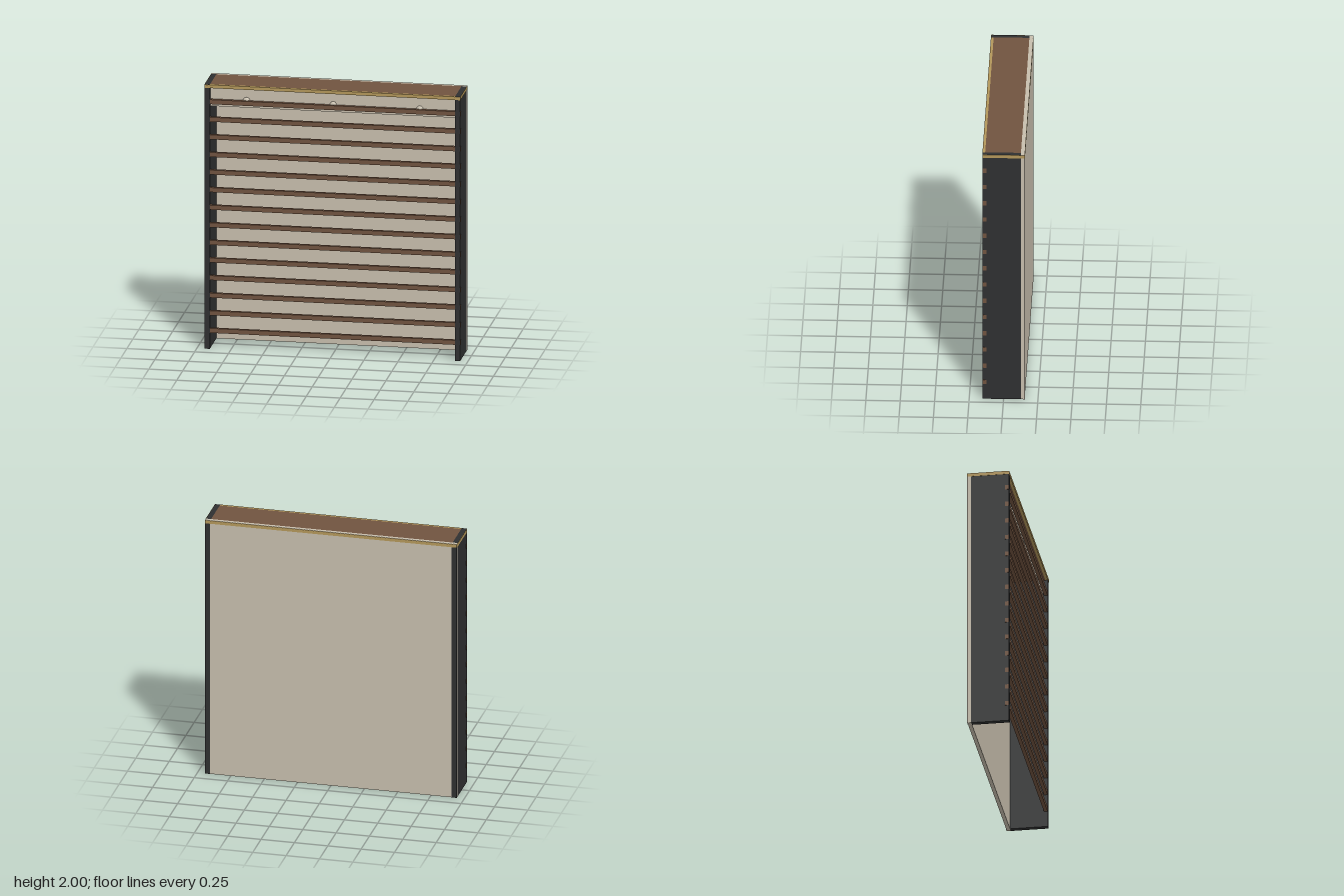
import * as THREE from 'three';

const mat = (name, color) => {
  const m = new THREE.MeshStandardMaterial({ color });
  m.name = name;
  return m;
};

export function createModel() {
  const group = new THREE.Group();
  const dark = mat('charcoal', 0x2e2f30);
  const brown = mat('brown wood', 0x70533f);
  const cream = mat('cream', 0xc6bdac);
  const gold = mat('brass', 0xb2965a);

  // Box given by its lower and upper limits on each axis
  const box = (name, material, [x0, x1], [y0, y1], [z0, z1]) => {
    const mesh = new THREE.Mesh(new THREE.BoxGeometry(x1 - x0, y1 - y0, z1 - z0), material);
    mesh.position.set((x0 + x1) / 2, (y0 + y1) / 2, (z0 + z1) / 2);
    mesh.name = name;
    group.add(mesh);
    return mesh;
  };

  const W = 0.943, IN = 0.905, F = 0.153, B = -0.153, BAND = 1.975;

  // Back panel
  box('backPanel', cream, [-W, W], [0, 2], [B, -0.125]);

  // Side walls with thin strips covering the rear corners and brass end trim
  for (const s of [-1, 1]) {
    const span = (a, b) => (s > 0 ? [a, b] : [-b, -a]);
    box('sideWall', dark, span(IN, W), [0, 2], [-0.125, F]);
    box('rearCornerStrip', dark, span(IN, W), [0, BAND], [B - 0.002, B]);
    box('sideTrim', brassOr(gold), span(W, W + 0.002), [BAND, 2], [B, F]);
    box('frontEndTrim', gold, span(IN, W), [BAND, 1.999], [F, F + 0.002]);
  }

  // Top board with brass front rail and rear trim
  box('topBoard', brown, [-IN, IN], [BAND, 2], [-0.125, 0.135]);
  box('frontTopRail', gold, [-IN, IN], [BAND, 2], [0.135, F + 0.002]);
  box('rearTrim', gold, [-W, W], [BAND, 1.999], [B - 0.002, B]);

  // Valance behind the top slat, with three round knobs
  box('valance', cream, [-IN, IN], [1.83, BAND], [0.1, 0.118]);
  for (const x of [-0.64, 0, 0.64]) {
    const knob = new THREE.Mesh(new THREE.SphereGeometry(0.026, 16, 10), cream);
    knob.scale.z = 0.6;
    knob.position.set(x, 1.883, 0.12);
    knob.name = 'knob';
    group.add(knob);
  }

  // Slats, let through the side walls so their ends show outside
  for (let i = 0; i < 14; i++) {
    const y = 0.138 + i * 0.1332;
    box('slat', brown, [-W - 0.002, W + 0.002], [y - 0.017, y + 0.017], [0.125, F - 0.001]);
  }
  return group;
}

// Trim material passes straight through
function brassOr(m) {
  return m;
}
